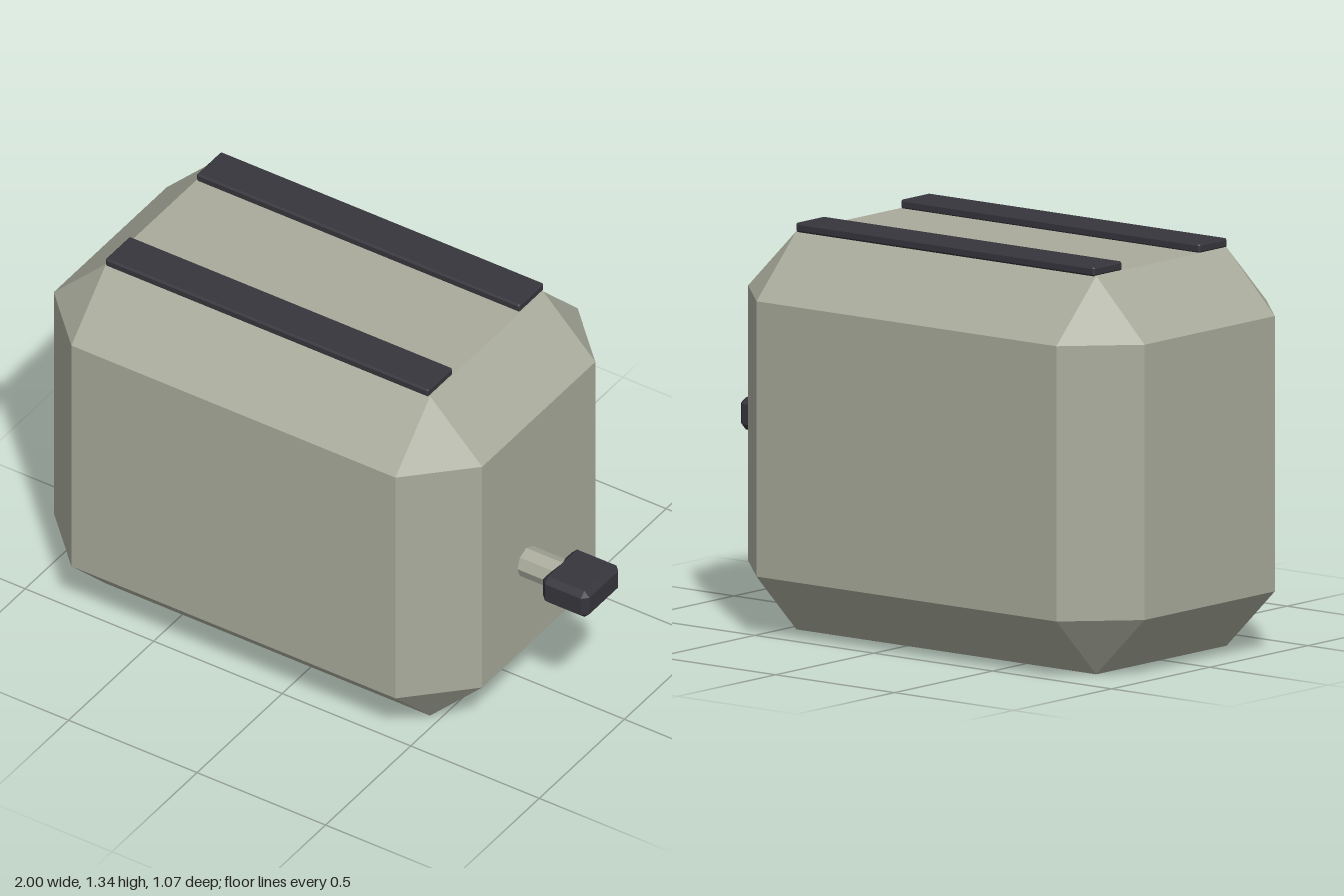
import * as THREE from 'three';
import { ConvexGeometry } from 'three/addons/geometries/ConvexGeometry.js';

const shell = new THREE.MeshStandardMaterial({ color: 0xa9ab9c });
shell.name = 'shell grey';
const dark = new THREE.MeshStandardMaterial({ color: 0x36353c });
dark.name = 'dark plastic';

// Box with all edges and corners cut by c, given as [min, max] per axis
function chamferBox(name, material, x, y, z, c) {
  const points = [];
  for (const i of [0, 1]) for (const j of [0, 1]) for (const k of [0, 1]) {
    const corner = [x[i], y[j], z[k]];
    const inward = [i ? -c : c, j ? -c : c, k ? -c : c];
    // Each corner becomes three points, one on each adjoining face
    for (let face = 0; face < 3; face++) {
      const p = corner.map((v, axis) => (axis === face ? v : v + inward[axis]));
      points.push(new THREE.Vector3(...p));
    }
  }
  const mesh = new THREE.Mesh(new ConvexGeometry(points), material);
  mesh.name = name;
  return mesh;
}

export function createModel() {
  const model = new THREE.Group();
  model.name = 'toaster';

  // Body
  model.add(chamferBox('body', shell, [-1, 0.667], [0, 1.314], [-0.535, 0.535], 0.203));

  // Raised slots along the top
  model.add(chamferBox('frontSlot', dark, [-0.795, 0.462], [1.312, 1.343], [0.195, 0.341], 0.006));
  model.add(chamferBox('backSlot', dark, [-0.795, 0.462], [1.312, 1.343], [-0.341, -0.195], 0.006));

  // Lever: eight-sided rod and knob
  const lever = new THREE.Group();
  lever.name = 'lever';
  const rodGeometry = new THREE.CylinderGeometry(0.053, 0.053, 0.17, 8).toNonIndexed();
  rodGeometry.computeVertexNormals();
  const rod = new THREE.Mesh(rodGeometry, shell);
  rod.name = 'leverRod';
  rod.rotation.z = Math.PI / 2;
  rod.position.set(0.783, 0.6, 0.12);
  lever.add(rod);
  lever.add(chamferBox('leverKnob', dark, [0.82, 1], [0.546, 0.653], [0.016, 0.225], 0.02));
  model.add(lever);

  return model;
}
